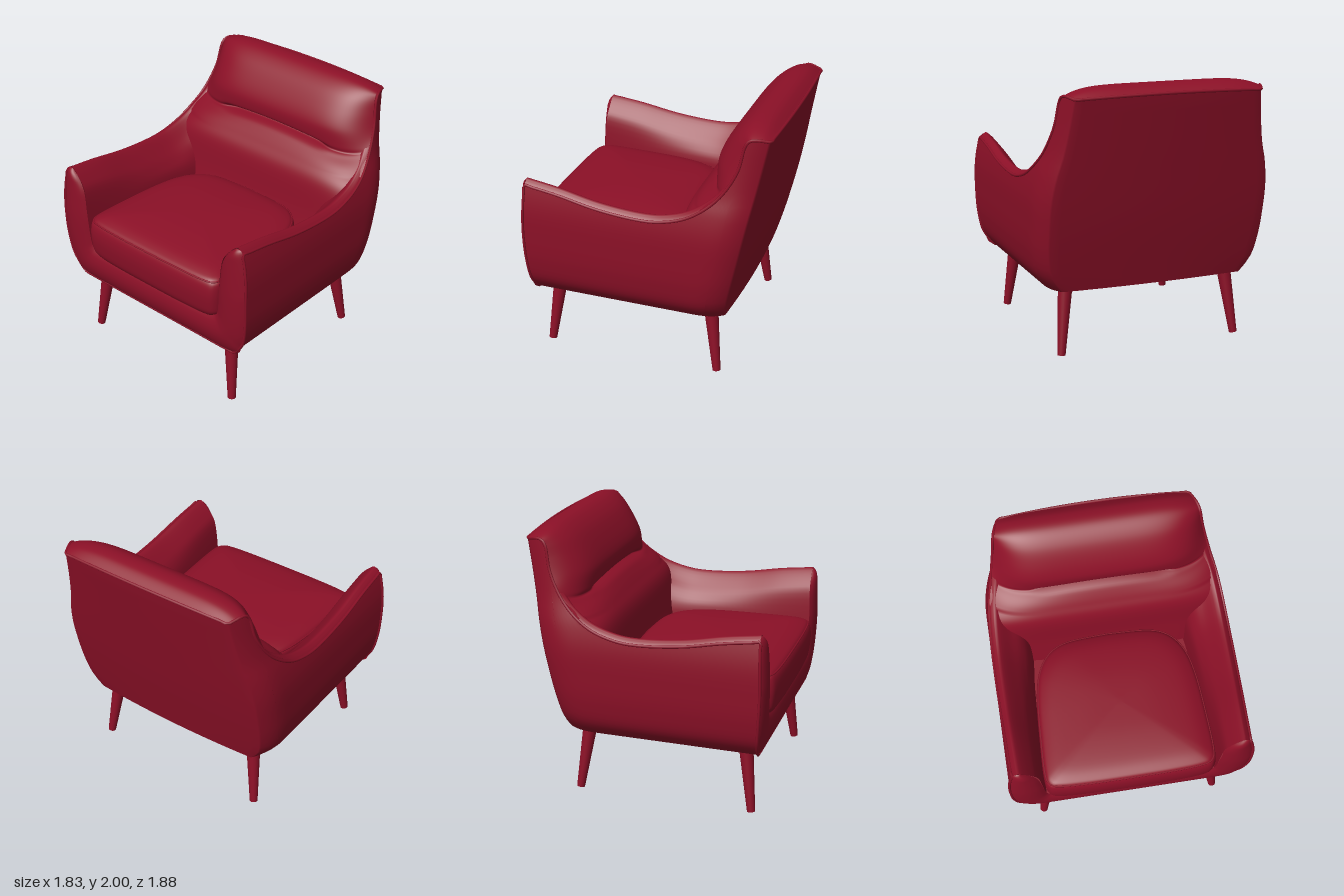
import * as THREE from 'three';
import { mergeVertices } from 'three/addons/utils/BufferGeometryUtils.js';

const V = (x, y, z) => new THREE.Vector3(x, y, z);
const lerp = THREE.MathUtils.lerp;
const spline = pts => new THREE.SplineCurve(pts.map(p => new THREE.Vector2(...p)));
const range = n => Array.from({ length: n + 1 }, (_, i) => i / n);

// smooth function through [input, output] pairs
function smoothTable(pairs) {
  const f = new THREE.CubicInterpolant(
    new Float32Array(pairs.map(p => p[0])), new Float32Array(pairs.map(p => p[1])), 1, new Float32Array(1));
  return x => f.evaluate(x)[0];
}

// smooth surface through rows of points
function grid(rows) {
  const n = rows[0].length, index = [];
  for (let i = 0; i < rows.length - 1; i++)
    for (let j = 0; j < n - 1; j++) {
      const a = i * n + j, b = a + n;
      index.push(a, b, a + 1, b, b + 1, a + 1);
    }
  const g = new THREE.BufferGeometry().setFromPoints(rows.flat());
  g.setIndex(index);
  const merged = mergeVertices(g, 1e-4);
  merged.computeVertexNormals();
  return merged;
}

// body outline: half width, front edge and back edge by height
const halfWidth = smoothTable([[0.5, 0.77], [0.6, 0.85], [0.75, 0.89], [1, 0.905], [1.2, 0.9],
  [1.385, 0.867], [1.5, 0.832], [1.7, 0.793], [1.95, 0.76]]);
const frontZ = smoothTable([[0.5, 0.84], [0.7, 0.86], [1, 0.875], [1.2, 0.87], [1.4, 0.86]]);
const backZ = smoothTable([[0.5, -0.61], [1, -0.725], [1.4, -0.805], [1.92, -0.905]]);
const depthAt = (y, u) => lerp(frontZ(y), backZ(y), u);
const shellX = (y, u) => halfWidth(y) * (1 - 0.09 * Math.max(0, (u - 0.82) / 0.18) ** 3);

// upper edge of the side panel as (z, y), from arm front to back corner
const topEdge = spline([[0.86, 1.385], [0.6, 1.35], [0.3, 1.295], [0, 1.27], [-0.2, 1.285],
  [-0.4, 1.355], [-0.58, 1.5], [-0.7, 1.7], [-0.76, 1.92], [-0.905, 1.92]]);
function edgeAt(t) {
  const p = topEdge.getPoint(t);
  const u = THREE.MathUtils.clamp((frontZ(p.y) - p.x) / (frontZ(p.y) - backZ(p.y)), 0, 1);
  return { y: p.y, u };
}

export function createModel() {
  const group = new THREE.Group();
  const red = new THREE.MeshStandardMaterial({ color: 0x8c1027, side: THREE.DoubleSide });
  red.name = 'deep red';
  const add = (name, geometry, mirrored = false) => {
    const mesh = new THREE.Mesh(geometry, red);
    mesh.name = name;
    if (mirrored) mesh.scale.x = -1;
    group.add(mesh);
    return mesh;
  };
  const pair = (name, geometry) => {
    add('left' + name, geometry);
    add('right' + name, geometry, true);
  };

  // outer shell: side, back and other side wrapped in one surface
  const vs = range(24);
  const side = range(60).map(t => {
    const { y: top, u } = edgeAt(t);
    return vs.map(v => {
      const y = lerp(0.5, top, v);
      return V(shellX(y, u), y, depthAt(y, u));
    });
  });
  const back = range(24).slice(1, -1).map(k => {
    const c = 1 - 2 * k, bulge = 1 - c * c;
    return vs.map(v => {
      const y = lerp(0.5, 1.92 + 0.015 * bulge, v);
      return V(shellX(y, 1) * c, y, backZ(y) - 0.027 * bulge);
    });
  });
  const otherSide = side.map(col => col.map(p => V(-p.x, p.y, p.z))).reverse();
  const columns = [...side, ...back, ...otherSide];
  add('outerShell', grid(columns));
  add('underside', grid(columns.map(col => [col[0], V(0, 0.5, col[0].z)])));

  // padded arms: over the top edge and down the inside
  const armPad = grid(range(40).map(s => {
    const t = s * 0.7, { y, u } = edgeAt(t);
    const xo = shellX(y, u), xi = lerp(0.645, 0.53, s * s), z = topEdge.getPoint(t).x;
    const section = spline([[xo, y], [xo - 0.025, y + 0.025], [xo - 0.06, y + 0.033],
      [xo - 0.14, y - 0.05], [lerp(xi, xo - 0.14, 0.45), y - 0.14], [xi + 0.015, 1.02], [xi, 0.74]]);
    return section.getPoints(24).map(p =>
      V(p.x, p.y, z + (1 - s) * (frontZ(p.y) - frontZ(1.385))));
  }));
  pair('ArmPad', armPad);

  // rounded front facing: arm fronts and bottom rail in one U
  const outer = spline([[0.81, 1.417], [0.862, 1.395], [0.888, 1.25], [0.9, 1.1], [0.905, 1],
    [0.89, 0.75], [0.85, 0.6], [0.77, 0.5], [0.4, 0.49], [0, 0.49]]);
  const inner = spline([[0.81, 1.417], [0.74, 1.35], [0.69, 1.25], [0.67, 1.1], [0.66, 1],
    [0.65, 0.88], [0.63, 0.79], [0.56, 0.76], [0.3, 0.755], [0, 0.755]]);
  const facing = grid(range(60).map(s => {
    const a = outer.getPoint(s), b = inner.getPoint(s);
    const swell = 0.036 * Math.min(1, a.distanceTo(b) / 0.15);
    return range(12).map(w => {
      const y = lerp(a.y, b.y, w);
      return V(lerp(a.x, b.x, w), y, frontZ(y) + swell * Math.sin(Math.PI * w) ** 0.7);
    });
  }));
  pair('FrontFacing', facing);

  // seat deck under the cushion
  const deck = add('seatDeck', new THREE.BoxGeometry(1.3, 0.2, 1.3));
  deck.position.set(0, 0.655, 0.215);

  // backrest: lumbar swell, crease and head roll, drawn in to the shell at both ends
  const middle = spline([[-0.2, 0.8], [-0.25, 1.05], [-0.29, 1.3], [-0.36, 1.42], [-0.445, 1.52],
    [-0.485, 1.545], [-0.475, 1.58], [-0.475, 1.68], [-0.53, 1.8], [-0.62, 1.92],
    [-0.73, 1.99], [-0.84, 1.988], [-0.925, 1.935]]);
  const ends = spline([[-0.3, 0.8], [-0.3, 1.05], [-0.35, 1.3], [-0.48, 1.42], [-0.595, 1.52],
    [-0.615, 1.545], [-0.635, 1.58], [-0.69, 1.68], [-0.73, 1.8], [-0.755, 1.89],
    [-0.78, 1.93], [-0.85, 1.935], [-0.905, 1.92]]);
  add('backrest', grid(range(96).map(t => {
    const m = middle.getPoint(t), e = ends.getPoint(t);
    const u = (frontZ(e.y) - e.x) / (frontZ(e.y) - backZ(e.y));
    const w = shellX(e.y, Math.min(1, u)) * (e.y < 1.4 ? 0.97 : 1);
    const nearCrease = Math.exp(-(((m.y - 1.547) / 0.02) ** 2));
    return range(64).map(k => {
      const c = Math.sin((k - 0.5) * Math.PI), x = w * c, f = Math.abs(c) ** 6;
      const notch = 0.04 * nearCrease * (1 - THREE.MathUtils.smoothstep(Math.abs(x), 0.38, 0.56));
      const arch = 0.1 * x * x * Math.exp(-(((m.y - 1.547) / 0.08) ** 2));
      return V(x, lerp(m.y, e.y, f) - arch * (1 - f), lerp(m.x, e.x, f) - notch);
    });
  })));

  // seat cushion: rings of a D-shaped outline, full at the sides and crowned on top
  const half = spline([[0, 0.93], [0.3, 0.928], [0.54, 0.915], [0.625, 0.88], [0.648, 0.78], [0.64, 0.5],
    [0.62, 0.2], [0.575, -0.02], [0.48, -0.17], [0.32, -0.245], [0, -0.265]]).getPoints(48);
  const outline = [...half, ...half.slice(0, -1).reverse().map(p => new THREE.Vector2(-p.x, p.y))];
  const profile = spline([[0.94, 0.745], [0.975, 0.785], [0.995, 0.85], [1.005, 0.93], [0.995, 1],
    [0.965, 1.045], [0.91, 1.072], [0.75, 1.1], [0.4, 1.122], [0, 1.13]]);
  const ring = (s, y) => outline.map(p =>
    V(p.x * lerp(s, Math.min(1, s * 1.02), 0.7), y, 0.33 + (p.y - 0.33) * s));
  add('seatCushion', grid(profile.getPoints(45).map(p => ring(p.x, p.y))));

  // piping
  const pipe = (pts, r, closed = false) => new THREE.TubeGeometry(
    new THREE.CatmullRomCurve3(pts, closed), 160, r, 6, closed);
  add('cushionPiping', pipe(ring(0.965, 1.045).slice(0, -1).filter((_, i) => i % 2 === 0), 0.007, true));
  const tops = side.map(col => col[col.length - 1]);
  const backTop = back.slice(0, 12).map(col => col[col.length - 1]);
  const frontEdge = range(14).slice(0, -1).map(v => {
    const y = lerp(0.5, 1.385, v);
    return V(halfWidth(y), y, frontZ(y));
  });
  const rail = [V(0, 0.495, 0.84), V(0.4, 0.495, 0.84), V(0.7, 0.495, 0.84)];
  const edgePts = [...rail, ...frontEdge, ...tops.filter((_, i) => i % 2 === 0), ...backTop];
  pair('EdgePiping', pipe(edgePts, 0.011));

  // splayed tapered legs
  const up = V(0, 1, 0);
  for (const sx of [1, -1])
    for (const [name, zTop, zFoot] of [['frontLeg', 0.715, 0.78], ['backLeg', -0.48, -0.55]]) {
      const top = V(0.635 * sx, 0.52, zTop), foot = V(0.695 * sx, 0.005, zFoot);
      const axis = top.clone().sub(foot);
      const leg = add(name, new THREE.CylinderGeometry(0.054, 0.03, axis.length(), 24));
      leg.position.copy(top).add(foot).multiplyScalar(0.5);
      leg.quaternion.setFromUnitVectors(up, axis.normalize());
    }
  return group;
}
